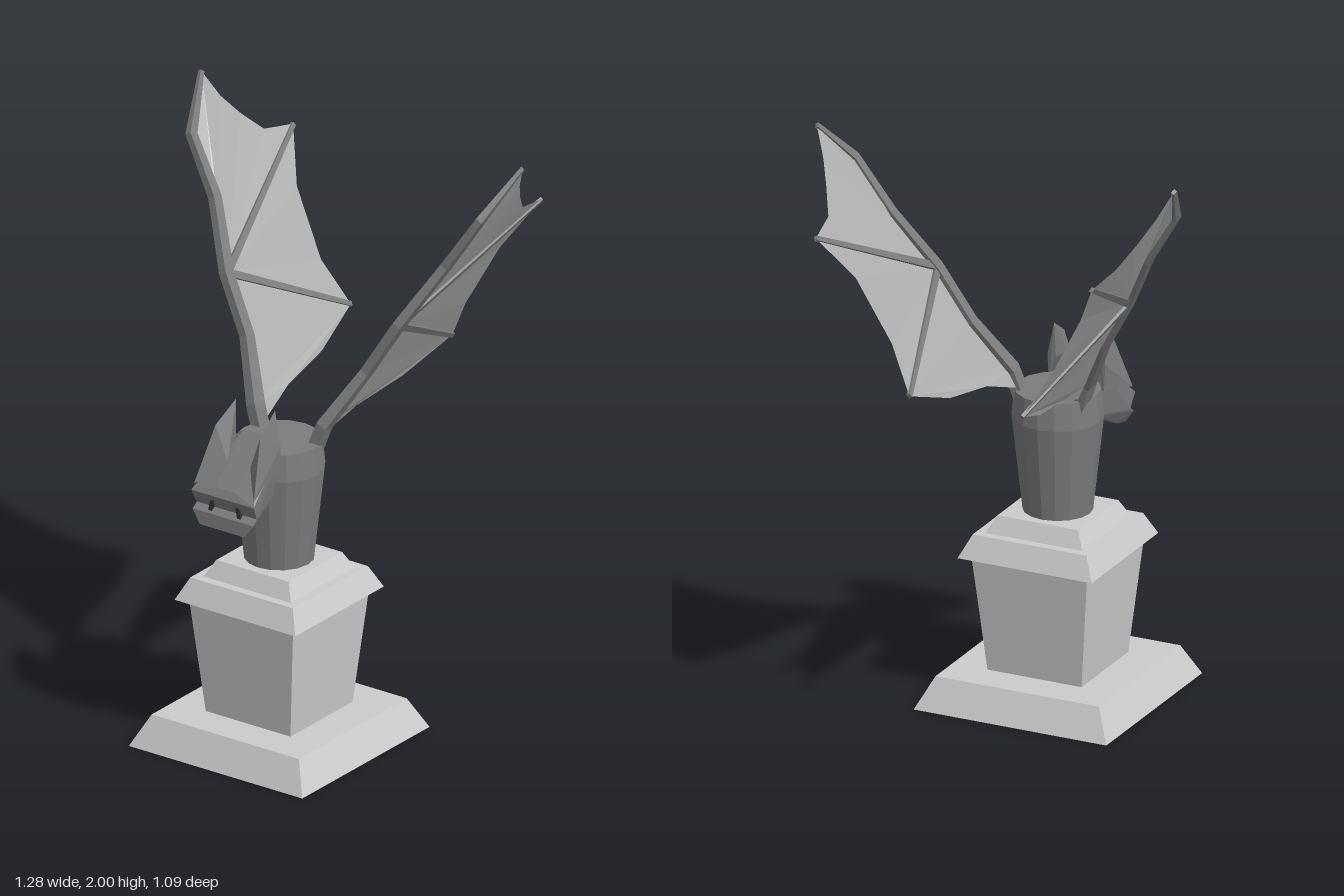
import * as THREE from 'three';
import { ConvexGeometry } from 'three/addons/geometries/ConvexGeometry.js';

const stone = new THREE.MeshStandardMaterial({ color: 0xcccccc, flatShading: true });
const dark = new THREE.MeshStandardMaterial({ color: 0x7c7c7c, flatShading: true });
const skin = new THREE.MeshStandardMaterial({ color: 0xb0b0b0, flatShading: true, side: THREE.DoubleSide });
const black = new THREE.MeshStandardMaterial({ color: 0x333333, flatShading: true });
const CZ = 0.203; // pedestal axis

function part(parent, name, geometry, material) {
  const mesh = new THREE.Mesh(geometry, material);
  mesh.name = name;
  parent.add(mesh);
  return mesh;
}

// square frustum given by half widths
function frustum(parent, name, y0, y1, h0, h1) {
  const g = new THREE.CylinderGeometry(h1 * Math.SQRT2, h0 * Math.SQRT2, y1 - y0, 4);
  g.rotateY(Math.PI / 4).translate(0, (y0 + y1) / 2, CZ);
  part(parent, name, g, stone);
}

// convex solid, optionally mirrored across x = 0 into one hull
function hull(points, mirror) {
  const v = points.map(p => new THREE.Vector3(...p));
  if (mirror) v.push(...points.map(([x, y, z]) => new THREE.Vector3(-x, y, z)));
  return new ConvexGeometry(v);
}

// square-section tapered bone swept along points; n is the wing plane's normal
function bone(points, radii, n) {
  const pos = [], idx = [];
  points.forEach((p, i) => {
    const a = points[Math.max(i - 1, 0)], b = points[Math.min(i + 1, points.length - 1)];
    const u = b.clone().sub(a).cross(n).normalize();
    for (const [s, t] of [[1, 1], [-1, 1], [-1, -1], [1, -1]]) {
      const q = p.clone().addScaledVector(u, s * radii[i]).addScaledVector(n, t * radii[i] * 0.75);
      pos.push(q.x, q.y, q.z);
    }
  });
  for (let i = 0; i < points.length - 1; i++) {
    for (let j = 0; j < 4; j++) {
      const a = i * 4 + j, b = i * 4 + (j + 1) % 4;
      idx.push(a, a + 4, b, b, a + 4, b + 4);
    }
  }
  const e = (points.length - 1) * 4;
  idx.push(0, 1, 2, 0, 2, 3, e, e + 2, e + 1, e, e + 3, e + 2);
  const g = new THREE.BufferGeometry();
  g.setAttribute('position', new THREE.Float32BufferAttribute(pos, 3));
  g.setIndex(idx);
  g.computeVertexNormals();
  return g;
}

function buildWing(side) {
  const wing = new THREE.Group();
  wing.name = side > 0 ? 'leftWing' : 'rightWing';
  const V = list => list.map(([x, y, z]) => new THREE.Vector3(side * x, y, z));
  const arm = V([[0.1, 1.0, 0.155], [0.135, 1.1, 0.145], [0.235, 1.28, 0.055], [0.34, 1.46, 0.022],
    [0.455, 1.66, -0.072], [0.57, 1.84, -0.102], [0.634, 1.99, -0.243]]);
  const [upper, lower] = V([[0.49, 1.735, -0.54], [0.2, 1.215, -0.455]]);
  const normal = new THREE.Vector3(side * 0.87, -0.49, 0).normalize();

  // bones
  const fix = dir => normal.clone().addScaledVector(dir, -normal.dot(dir)).normalize();
  part(wing, 'wingArm', bone(arm, [0.025, 0.025, 0.02, 0.02, 0.018, 0.016, 0.008], normal), dark);
  for (const tip of [upper, lower]) {
    const dir = tip.clone().sub(arm[3]).normalize();
    part(wing, 'wingFinger', bone([arm[3], tip], [0.013, 0.008], fix(dir)), dark);
  }

  // membrane: one panel between each pair of bones
  const panels = [
    [arm[3], arm[4], arm[5], arm[6], ...V([[0.59, 1.9, -0.285], [0.552, 1.83, -0.34], [0.51, 1.76, -0.41]]), upper],
    [arm[3], upper, ...V([[0.4, 1.58, -0.437], [0.285, 1.365, -0.41]]), lower],
    [arm[3], lower, ...V([[0.16, 1.14, -0.245], [0.135, 1.107, -0.03], [0.11, 1.05, 0.125]]), arm[1], arm[2]],
  ];
  for (const p of panels) {
    const g = new THREE.BufferGeometry().setFromPoints(p);
    const flat = p.map(v => new THREE.Vector2(v.z, v.y));
    g.setIndex(THREE.ShapeUtils.triangulateShape(flat, []).flat());
    g.computeVertexNormals();
    part(wing, 'wingMembrane', g, skin);
  }
  return wing;
}

function buildHead() {
  const head = new THREE.Group();
  head.name = 'head';
  // skull with sloping forehead and wide brow
  part(head, 'skull', hull([[0.04, 1.11, 0.335], [0.095, 1.07, 0.335], [0.075, 0.91, 0.335],
    [0.04, 0.965, 0.492], [0.123, 0.94, 0.508], [0.118, 0.89, 0.483]], true), dark);
  // jaw
  part(head, 'jaw', hull([[0.075, 0.91, 0.335], [0.118, 0.892, 0.483], [0.12, 0.875, 0.505],
    [0.088, 0.83, 0.51], [0.08, 0.84, 0.46]], true), dark);
  for (const s of [-1, 1]) {
    // ears
    part(head, 'ear', hull([[0.077, 1.205, 0.33], [0.088, 1.145, 0.425], [0.042, 1.02, 0.42],
      [0.103, 1.09, 0.335], [0.098, 1.0, 0.335], [0.118, 0.96, 0.5], [0.07, 1.0, 0.34]]
      .map(([x, y, z]) => [s * x, y, z])), dark);
    // slanted eyes
    const eye = part(head, 'eye', new THREE.BoxGeometry(0.014, 0.05, 0.02), black);
    eye.position.set(s * 0.053, 0.9, 0.487);
    eye.rotation.z = s * 0.2;
  }
  return head;
}

export function createModel() {
  const model = new THREE.Group();
  model.name = 'wingedStatue';

  // pedestal
  const pedestal = new THREE.Group();
  pedestal.name = 'pedestal';
  model.add(pedestal);
  frustum(pedestal, 'plinth', 0, 0.105, 0.342, 0.29);
  frustum(pedestal, 'pedestalBlock', 0.105, 0.5, 0.167, 0.205);
  frustum(pedestal, 'lowerCap', 0.5, 0.575, 0.238, 0.202);
  frustum(pedestal, 'upperCap', 0.575, 0.63, 0.172, 0.143);

  // torso
  const profile = [[0, 0.63], [0.113, 0.63], [0.148, 0.95], [0.139, 1.042], [0, 1.042]];
  const torso = new THREE.LatheGeometry(profile.map(p => new THREE.Vector2(...p)), 16);
  part(model, 'torso', torso.translate(0, 0, 0.202), dark);

  model.add(buildHead(), buildWing(1), buildWing(-1));
  return model;
}
